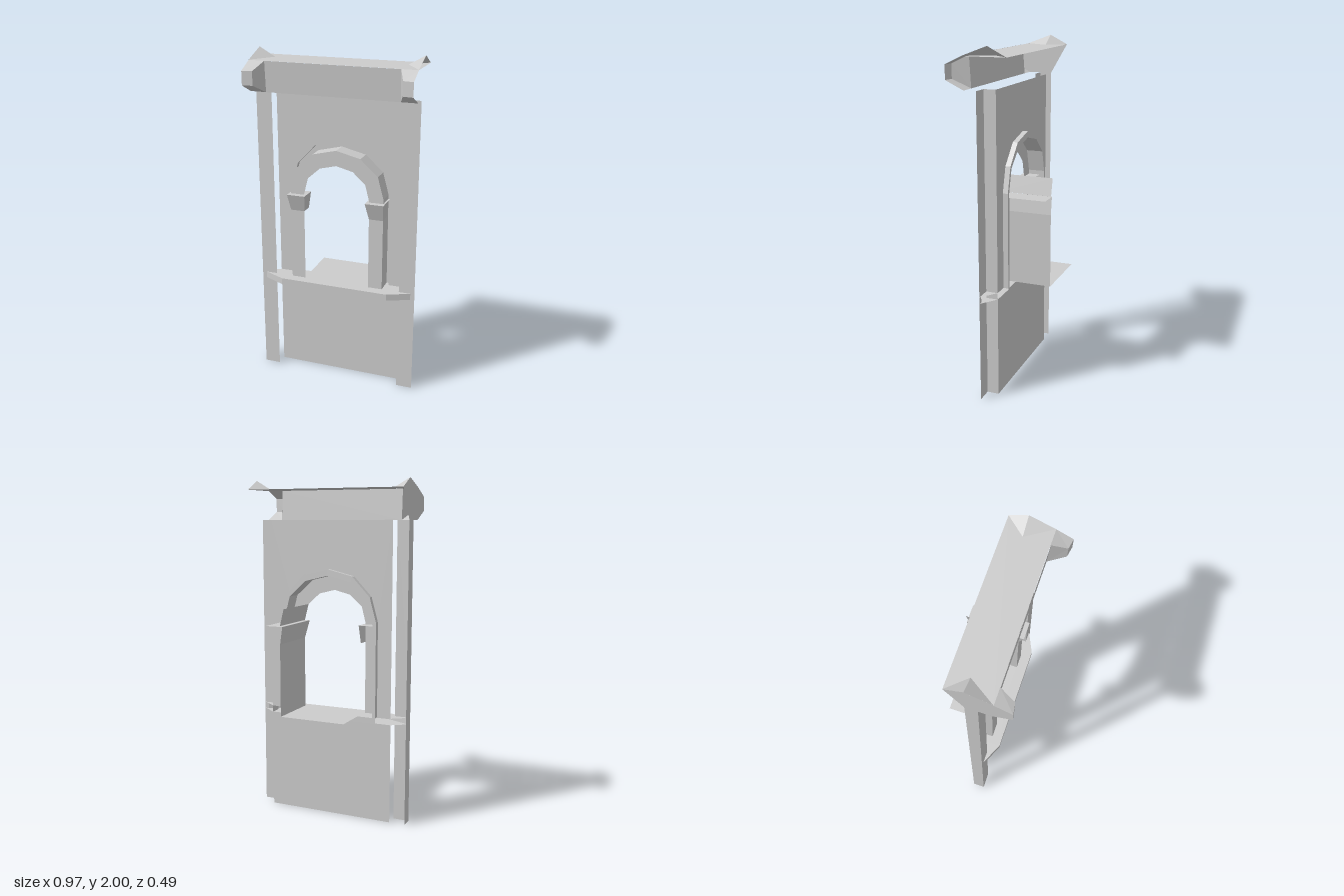
import * as THREE from 'three';

export function createModel() {
  const model = new THREE.Group();
  const stone = new THREE.MeshStandardMaterial({ color: 0xcccccc, side: THREE.DoubleSide });
  stone.name = 'grey stone';

  function add(name, geometry) {
    const mesh = new THREE.Mesh(geometry, stone);
    mesh.name = name;
    model.add(mesh);
    return mesh;
  }

  // Convex polygons, each a list of [x, y, z], as flat fans
  function faces(name, polygons) {
    const p = [];
    for (const poly of polygons) {
      for (let i = 1; i < poly.length - 1; i++) p.push(...poly[0], ...poly[i], ...poly[i + 1]);
    }
    const g = new THREE.BufferGeometry();
    g.setAttribute('position', new THREE.Float32BufferAttribute(p, 3));
    g.computeVertexNormals();
    return add(name, g);
  }

  // Quads between two polylines of equal length
  const strip = (a, b) => a.slice(1).map((_, i) => [a[i], a[i + 1], b[i + 1], b[i]]);
  const at = (path, z) => path.map(([x, y]) => [x, y, z]);
  const flipX = (polys) => polys.map((poly) => poly.map(([x, y, z]) => [-x, y, z]).reverse());
  const upright = (x0, x1, y0, y1, z) => [[x0, y0, z], [x1, y0, z], [x1, y1, z], [x0, y1, z]];
  const sidePanel = (x, y0, y1, z0, z1) => [[x, y0, z0], [x, y0, z1], [x, y1, z1], [x, y1, z0]];
  const level = (x0, x1, y, z0, z1) => [[x0, y, z1], [x1, y, z1], [x1, y, z0], [x0, y, z0]];

  const FRONT = 0.07, BACK = -0.245, GROOVE = -0.03;
  const W = 0.485, P = 0.39, TOP = 1.77, SILL0 = 0.593, SILL1 = 0.632;

  // Arch outlines, right half mirrored to a full path
  const full = (half) => [...half, ...half.slice(0, -1).reverse().map(([x, y]) => [-x, y])];
  const outer = full([[0.305, SILL1], [0.305, 1.19], [0.265, 1.335], [0.155, 1.45], [0, 1.487]]);
  const middle = full([[0.285, SILL1], [0.285, 1.19], [0.25, 1.32], [0.145, 1.415], [0, 1.45]]);
  const inner = full([[0.2, SILL1], [0.2, 1.17], [0.175, 1.268], [0.1, 1.335], [0, 1.36]]);

  // Wall panels above and below the ledge
  const wall = new THREE.Shape([[-P, SILL1], [-P, TOP], [P, TOP], [P, SILL1], ...outer]
    .map(([x, y]) => new THREE.Vector2(x, y)));
  add('upperWall', new THREE.ShapeGeometry(wall));
  faces('lowerWall', [upright(-P, P, 0, SILL0, 0)]);

  // Edge pilasters, with one outer side and one inner return
  for (const [name, x0, x1] of [['leftPilaster', P, W], ['rightPilaster', -W, -P]]) {
    faces(name, [upright(x0, x1, 0, SILL0, FRONT), upright(x0, x1, SILL1, TOP, FRONT)]);
  }
  faces('pilasterOuterSide', [sidePanel(-W, 0, TOP, 0, FRONT)]);
  faces('pilasterReturn', [sidePanel(P, 0, TOP, FRONT, 0)]);

  // Stepped arch: recessed groove, then the raised surround
  faces('archGroove', [
    ...strip(at(outer, 0), at(outer, GROOVE)),
    ...strip(at(outer, GROOVE), at(middle, GROOVE)),
    ...strip(at(middle, GROOVE), at(middle, FRONT)),
  ]);
  faces('archSurround', strip(at(middle, FRONT), at(inner, FRONT)));

  // Flared capitals; the left one runs back along the deep reveal
  function capital(back) {
    const low = [[0.2, 1.062, back], [0.2, 1.062, FRONT], [0.285, 1.062, FRONT], [0.285, 1.062, 0]];
    const high = [[0.185, 1.165, back], [0.185, 1.165, 0.105], [0.295, 1.165, 0.105], [0.295, 1.165, 0]];
    return [...strip(low, high), level(0.185, 0.295, 1.165, back, 0.105)];
  }
  faces('leftCapital', capital(BACK));
  faces('rightCapital', flipX(capital(0)));

  // Deep window reveal: floor, one side and the first arch segment
  faces('windowFloor', [level(-0.2, 0.2, 0.636, BACK, FRONT)]);
  faces('windowSide', [sidePanel(0.2, 0.636, 1.062, BACK, FRONT)]);
  faces('archSpringing', strip(at(inner.slice(1, 3), FRONT), at(inner.slice(1, 3), BACK)));

  // Bowed ledge
  const bow = [[-W, FRONT], [-0.46, FRONT], [-0.33, 0.13], [0.33, 0.13], [0.46, FRONT], [W, FRONT]];
  const bowAt = (y) => bow.map(([x, z]) => [x, y, z]);
  const backAt = (y) => bow.map(([x]) => [Math.max(-P, Math.min(P, x)), y, 0]);
  faces('ledge', [
    ...strip(bowAt(SILL0), bowAt(SILL1)),
    ...strip(bowAt(SILL1), backAt(SILL1)),
    ...strip(backAt(SILL0), bowAt(SILL0)),
  ]);
  faces('ledgeBack', [level(-0.305, 0.305, SILL1, GROOVE, 0), upright(-0.305, 0.305, 0.6, SILL1, GROOVE)]);

  // Cornice: flat top and leaning fascia
  const Y = 1.945;
  faces('corniceTop', [level(-W, W, Y, -0.1, 0.15)]);
  faces('corniceFascia', [[[-P, TOP, 0.14], [P, TOP, 0.14], [P, Y, 0.152], [-P, Y, 0.152]]]);

  // Corner brackets and the small peaks above them
  const bracket = [
    [[P, TOP, 0.14], [0.425, 1.82, 0.235], [0.425, 1.9, 0.235], [P, Y, 0.15]],
    [[0.425, 1.82, 0.235], [W, 1.82, 0.245], [W, 1.9, 0.245], [0.425, 1.9, 0.235]],
    [[0.425, 1.9, 0.235], [W, 1.9, 0.245], [W, Y, 0.15], [P, Y, 0.15]],
    [[P, TOP, 0.14], [W, TOP, 0.14], [W, 1.82, 0.245], [0.425, 1.82, 0.235]],
  ];
  const peak = [
    [[P, Y + 0.001, 0.005], [W, 2, 0.005], [W, Y + 0.001, -0.1]],
    [[P, Y + 0.001, 0.005], [W, Y + 0.001, 0.15], [W, 2, 0.005]],
  ];
  faces('leftBracket', bracket);
  faces('rightBracket', flipX(bracket));
  faces('leftPeak', peak);
  faces('rightPeak', flipX(peak));

  // Closed end of the cornice
  const end = [[0.005, 2], [-0.1, Y], [0, TOP], [0.14, TOP], [0.245, 1.82], [0.245, 1.9], [0.15, Y]];
  faces('corniceEnd', [end.map(([z, y]) => [-W, y, z])]);

  return model;
}
